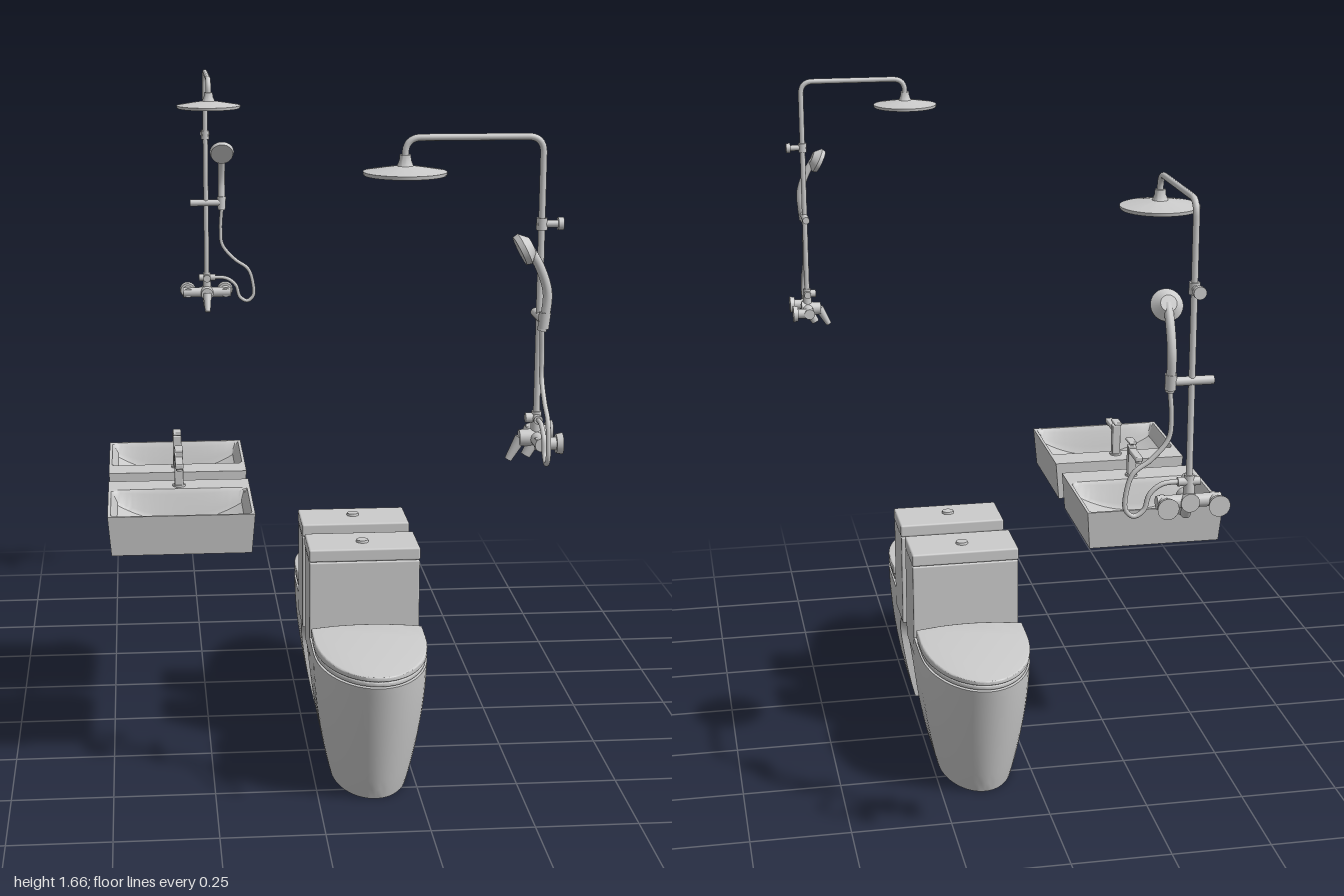
import * as THREE from 'three';
import { toCreasedNormals } from 'three/addons/utils/BufferGeometryUtils.js';
import { RoundedBoxGeometry } from 'three/addons/geometries/RoundedBoxGeometry.js';

const material = new THREE.MeshStandardMaterial({ color: 0xcccccc });
const V = (x, y, z) => new THREE.Vector3(x, y, z);

function add(parent, name, geometry, x = 0, y = 0, z = 0) {
  const mesh = new THREE.Mesh(geometry, material);
  mesh.name = name;
  mesh.position.set(x, y, z);
  parent.add(mesh);
  return mesh;
}

// Cylinder or cone running from a to b
function rod(parent, name, a, b, ra, rb = ra, sides = 24) {
  const dir = b.clone().sub(a);
  const mesh = add(parent, name, new THREE.CylinderGeometry(rb, ra, dir.length(), sides));
  mesh.position.copy(a).add(b).multiplyScalar(0.5);
  mesh.quaternion.setFromUnitVectors(V(0, 1, 0), dir.normalize());
  return mesh;
}

// Capped solid through horizontal rings of equal point count, bottom to top
function loft(rings, crease = 0.6) {
  const n = rings[0].length, pos = rings.flat().flatMap(p => [p.x, p.y, p.z]), index = [];
  for (let i = 0; i < rings.length - 1; i++) {
    for (let j = 0; j < n; j++) {
      const a = i * n + j, b = i * n + (j + 1) % n;
      index.push(a, a + n, b + n, a, b + n, b);
    }
  }
  [0, rings.length - 1].forEach((r, top) => {
    const flat = rings[r].map(p => new THREE.Vector2(p.x, p.z));
    for (const [a, b, c] of THREE.ShapeUtils.triangulateShape(flat, [])) {
      const u = flat[b].clone().sub(flat[a]), w = flat[c].clone().sub(flat[a]);
      const facesUp = u.cross(w) < 0;
      const o = r * n;
      if (facesUp === !!top) index.push(o + a, o + b, o + c);
      else index.push(o + a, o + c, o + b);
    }
  });
  const g = new THREE.BufferGeometry();
  g.setAttribute('position', new THREE.Float32BufferAttribute(pos, 3));
  g.setIndex(index);
  return toCreasedNormals(g, crease);
}

// U-shaped section of the pedestal, with a recess in its back
function pedestalRing(y, hw, back, mid, front, recess) {
  const pts = [V(hw, y, back)];
  for (let i = 0; i <= 32; i++) {
    const a = Math.PI * i / 32;
    pts.push(V(hw * Math.cos(a), y, mid + (front - mid) * Math.sin(a)));
  }
  const n = hw - 0.022;
  pts.push(V(-hw, y, back), V(-n, y, back), V(-n * 0.85, y, recess), V(n * 0.85, y, recess), V(n, y, back));
  return pts;
}

// Seat or lid slab between y0 and y1, with a bowed back edge
function seatSlab(hw, front, y0, y1, bevel, slope) {
  const s = new THREE.Shape();
  const w = hw - bevel;
  s.moveTo(w, 0.195);
  s.lineTo(w, 0.26);
  s.absellipse(0, 0.26, w, front - 0.26 - bevel, 0, Math.PI, false);
  s.lineTo(-w, 0.195);
  s.quadraticCurveTo(0, 0.155, w, 0.195);
  const g = new THREE.ExtrudeGeometry(s, {
    depth: y1 - y0 - 2 * bevel, bevelSize: bevel, bevelThickness: bevel, bevelSegments: 3, curveSegments: 32,
  });
  g.rotateX(Math.PI / 2).translate(0, y1 - bevel, 0);
  const p = g.attributes.position;
  for (let i = 0; i < p.count; i++) {
    if (p.getY(i) > (y0 + y1) / 2) p.setY(i, p.getY(i) + (front - p.getZ(i)) * slope);
  }
  return toCreasedNormals(g, 0.6);
}

// Toilet with its back on z = 0
function createToilet() {
  const g = new THREE.Group();
  g.name = 'toilet';
  const rings = [];
  for (let i = 0; i <= 12; i++) {
    const t = i / 12, y = 0.322 * t;
    const flare = Math.max(0, (y - 0.19) / 0.08);
    const back = Math.max(0.03, 0.1 - 0.06 * Math.min(1, flare) ** 2);
    rings.push(pedestalRing(y, 0.095 + 0.045 * Math.sin(t * Math.PI / 2) ** 0.9, back,
      0.24 + 0.02 * t, 0.417 + 0.091 * t ** 0.9, 0.16));
  }
  add(g, 'pedestal', loft(rings));

  // Trapway: [height, half width, rearmost z]
  const trap = [[0, 0.052, 0.08], [0.03, 0.052, 0.072], [0.06, 0.042, 0.062], [0.13, 0.036, 0.047],
    [0.2, 0.046, 0.034], [0.28, 0.064, 0.02]];
  add(g, 'trapway', loft(trap.map(([y, r, back]) => Array.from({ length: 24 }, (_, j) => {
    const a = j / 24 * Math.PI * 2;
    return V(r * Math.cos(a), y, back + 0.055 + 0.055 * Math.sin(a));
  })), 1));

  add(g, 'tank', new RoundedBoxGeometry(0.28, 0.25, 0.143, 3, 0.004), 0, 0.395, 0.0715);
  add(g, 'tankLid', new RoundedBoxGeometry(0.282, 0.033, 0.144, 3, 0.005), 0, 0.5375, 0.072);
  rod(g, 'flushButton', V(0, 0.55, 0.08), V(0, 0.56, 0.08), 0.017, 0.015);
  add(g, 'seat', seatSlab(0.137, 0.503, 0.324, 0.336, 0.003, 0));
  add(g, 'seatLid', seatSlab(0.14, 0.508, 0.338, 0.35, 0.004, 0.045));
  for (const s of [-1, 1]) rod(g, 'hinge', V(s * 0.07 - 0.02, 0.332, 0.17), V(s * 0.07 + 0.02, 0.332, 0.17), 0.01);
  return g;
}

// Wash basin with its back on z = 0
function createBasin() {
  const g = new THREE.Group();
  g.name = 'basin';
  const W = 0.355, H = 0.1, D = 0.316, deck = 0.082;
  const box = new THREE.BoxGeometry(W, H, D, 48, 1, 48).translate(0, H / 2, D / 2);
  const p = box.attributes.position;
  const ramp = (d, w) => THREE.MathUtils.smoothstep(d, 0, w);
  for (let i = 0; i < p.count; i++) {
    const x = p.getX(i), z = p.getZ(i);
    if (p.getY(i) < H / 2) { // tapered underside
      p.setX(i, x * 0.955);
      p.setZ(i, z * 0.967);
    } else { // curved bowl
      const u = x / (W / 2);
      const edge = ramp(W / 2 - 0.008 - Math.abs(x), 0.014) * ramp(D - 0.008 - z, 0.018) * ramp(z - deck, 0.014);
      p.setY(i, H - 0.08 * edge * (1 - 0.75 * u * u));
    }
  }
  add(g, 'bowl', toCreasedNormals(box, 0.6));
  rod(g, 'drainRing', V(0, 0.012, 0.135), V(0, 0.024, 0.135), 0.02);
  rod(g, 'drainFlange', V(0, -0.014, 0.135), V(0, 0.003, 0.135), 0.024, 0.028);
  rod(g, 'drainPipe', V(0, -0.03, 0.135), V(0, 0, 0.135), 0.017);

  // Tap
  rod(g, 'tapFoot', V(0, H - 0.002, 0.052), V(0, H + 0.005, 0.052), 0.016);
  add(g, 'tapBody', new RoundedBoxGeometry(0.022, 0.085, 0.022, 2, 0.003), 0, H + 0.043, 0.052);
  add(g, 'tapSpout', new RoundedBoxGeometry(0.02, 0.013, 0.09, 2, 0.003), 0, H + 0.072, 0.092);
  rod(g, 'tapNozzle', V(0, H + 0.06, 0.126), V(0, H + 0.07, 0.126), 0.008);
  add(g, 'tapLever', new RoundedBoxGeometry(0.021, 0.008, 0.045, 2, 0.003), 0, H + 0.094, 0.046);
  return g;
}

// Shower column with its wall on z = 0
function createShower() {
  const g = new THREE.Group();
  g.name = 'shower';
  const Z = 0.047, top = 1.648, headZ = 0.345, b = 0.035;
  const path = new THREE.CurvePath();
  const corner = [V(0, 1, Z), V(0, top - b, Z), V(0, top, Z), V(0, top, Z + b),
    V(0, top, headZ - b), V(0, top, headZ), V(0, top - b, headZ), V(0, 1.59, headZ)];
  path.add(new THREE.LineCurve3(corner[0], corner[1]));
  path.add(new THREE.QuadraticBezierCurve3(corner[1], corner[2], corner[3]));
  path.add(new THREE.LineCurve3(corner[3], corner[4]));
  path.add(new THREE.QuadraticBezierCurve3(corner[4], corner[5], corner[6]));
  path.add(new THREE.LineCurve3(corner[6], corner[7]));
  add(g, 'riserPipe', new THREE.TubeGeometry(path, 140, 0.0075, 12));

  const head = [[0, 1.568], [0.088, 1.568], [0.09, 1.571], [0.09, 1.576], [0.05, 1.583], [0.018, 1.588],
    [0.013, 1.6], [0.012, 1.612], [0, 1.612]].map(([r, y]) => new THREE.Vector2(r, y));
  add(g, 'rainHead', toCreasedNormals(new THREE.LatheGeometry(head, 48), 0.6), 0, 0, headZ);

  // Upper wall bracket
  rod(g, 'wallBracket', V(0, 1.46, 0), V(0, 1.46, Z + 0.01), 0.008);
  rod(g, 'wallBracketPlate', V(0, 1.46, 0), V(0, 1.46, 0.012), 0.014);
  rod(g, 'wallBracketCollar', V(0, 1.447, Z), V(0, 1.473, Z), 0.012);

  // Hand shower, its holder and hose
  rod(g, 'slideHolder', V(-0.048, 1.257, Z), V(0.052, 1.257, Z), 0.01);
  rod(g, 'holderCradle', V(0.047, 1.24, Z), V(0.047, 1.275, Z - 0.003), 0.012, 0.013);
  const handle = new THREE.CatmullRomCurve3([V(0.047, 1.235, 0.05), V(0.047, 1.27, 0.043), V(0.047, 1.32, 0.04),
    V(0.047, 1.375, 0.058), V(0.047, 1.42, 0.085)]);
  add(g, 'handShowerHandle', new THREE.TubeGeometry(handle, 30, 0.0105, 12));
  const face = V(0, -0.45, 0.89), c = V(0.047, 1.415, 0.09);
  const at = d => c.clone().addScaledVector(face, d);
  rod(g, 'handShowerBack', at(-0.016), at(0.002), 0.018, 0.036, 32);
  rod(g, 'handShowerFace', at(0.002), at(0.014), 0.036, 0.033, 32);
  const hose = new THREE.CatmullRomCurve3([V(0.047, 1.24, 0.05), V(0.043, 1.18, Z), V(0.048, 1.13, Z), V(0.085, 1.085, Z),
    V(0.125, 1.055, Z), V(0.14, 1.01, Z), V(0.14, 0.972, Z), V(0.122, 0.957, Z), V(0.1, 0.97, Z),
    V(0.088, 1.005, Z), V(0.06, 1.027, Z), V(0, 1.03, Z)]);
  add(g, 'hose', new THREE.TubeGeometry(hose, 120, 0.0055, 10));

  // Mixer valve
  const Y = 0.985;
  rod(g, 'mixerBody', V(-0.072, Y, Z), V(0.072, Y, Z), 0.015);
  for (const s of [-1, 1]) {
    rod(g, 'inletPipe', V(s * 0.057, Y, 0), V(s * 0.057, Y, Z + 0.012), 0.014);
    rod(g, 'inletPlate', V(s * 0.057, Y, 0), V(s * 0.057, Y, 0.014), 0.024, 0.021);
  }
  rod(g, 'cartridge', V(0, Y, Z - 0.018), V(0, Y, Z + 0.038), 0.021, 0.018);
  rod(g, 'mixerLever', V(0, Y, Z + 0.034), V(0, 0.936, 0.108), 0.013, 0.008);
  rod(g, 'spout', V(0, Y, Z), V(0, 0.945, Z + 0.022), 0.014, 0.011);
  rod(g, 'riserNut', V(0, Y, Z), V(0, 1.045, Z), 0.013, 0.011);
  rod(g, 'diverter', V(-0.024, 1.03, Z), V(0.026, 1.03, Z), 0.01);
  rod(g, 'diverterKnob', V(0, 1.03, Z), V(0, 1.03, Z + 0.025), 0.011);
  return g;
}

export function createModel() {
  const model = new THREE.Group();
  model.name = 'bathroomFixtures';
  const place = (part, x, y, z, turn = 0) => {
    part.position.set(x, y, z);
    part.rotation.y = turn;
    model.add(part);
  };
  // Back-to-back pairs of toilets and basins
  for (const [z, turn] of [[0.143, 0], [0.067, Math.PI]]) {
    place(createToilet(), 0.14, 0, z, turn);
    place(createBasin(), -0.323, 0.604, z, turn);
  }
  place(createShower(), -0.208, 0, -1);
  place(createShower(), 0.5, 0, 0.853, -Math.PI / 2);
  return model;
}
